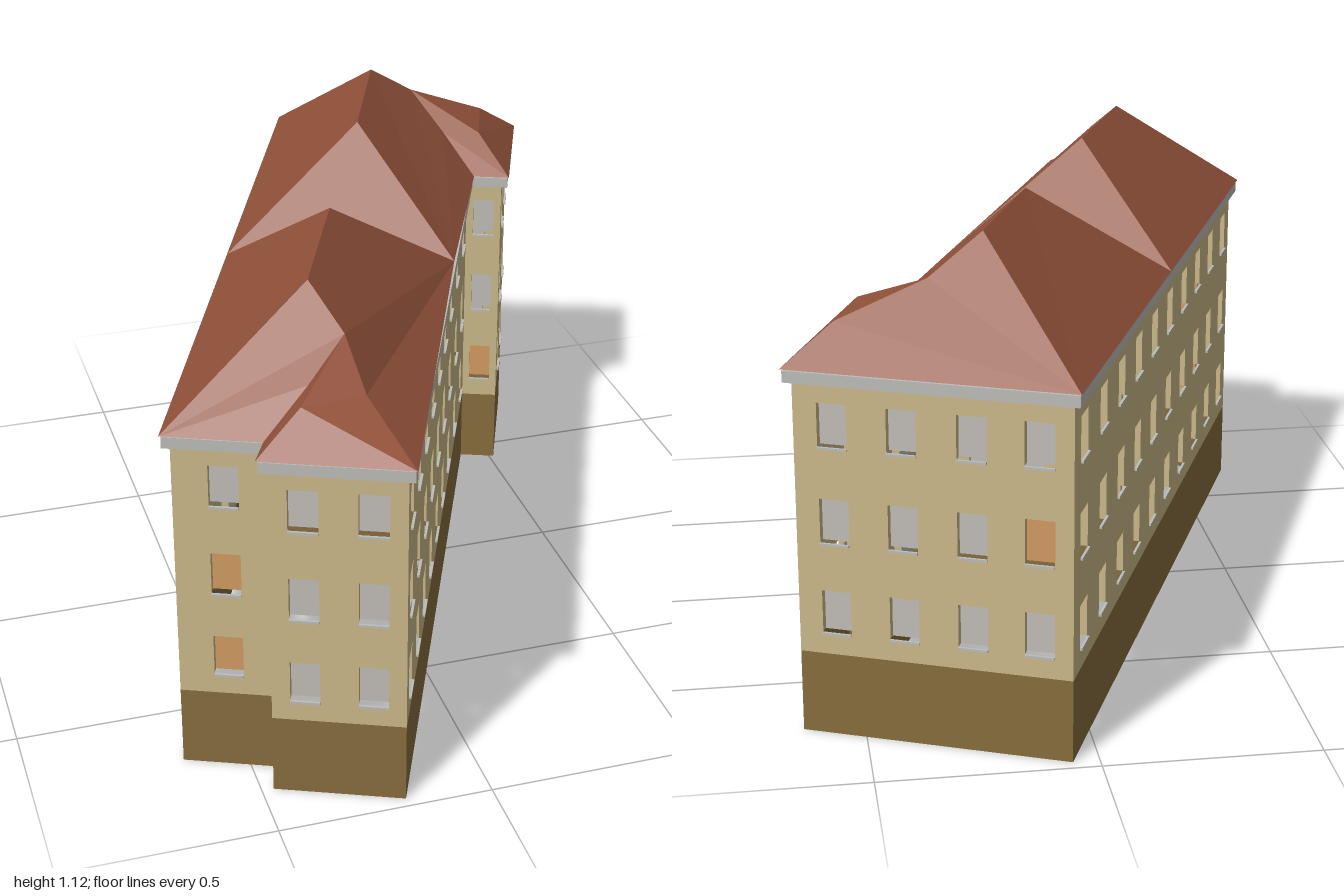
import * as THREE from 'three';

const mat = (name, color) => {
  const m = new THREE.MeshStandardMaterial({ color, side: THREE.DoubleSide });
  m.name = name;
  return m;
};

const EAVE = 0.866, WALL_TOP = 0.85, BASE_TOP = 0.197;
const ROWS = [[0.25, 0.35], [0.465, 0.568], [0.69, 0.79]];
const RECESS = 0.018;

// eave corners [x, z], counter-clockwise seen from above
const J = [-0.67, 0.70], I = [-0.463, 0.79], H = [-0.5, 0.863], G = [-0.186, 1.0];
const D = [0.437, -0.435], C = [0.523, -0.4], B = [0.664, -0.745], A = [0.05, -1.0];
const EAVES = [J, I, H, G, D, C, B, A];

// move every side of a closed outline inward by d
function inset(points, d) {
  const n = points.length;
  const normal = (a, b) => {
    const dx = b[0] - a[0], dz = b[1] - a[1], l = Math.hypot(dx, dz);
    return [-dz / l, dx / l];
  };
  return points.map((p, i) => {
    const n1 = normal(points[(i + n - 1) % n], p), n2 = normal(p, points[(i + 1) % n]);
    const k = d / (1 + n1[0] * n2[0] + n1[1] * n2[1]);
    return [p[0] - k * (n1[0] + n2[0]), p[1] - k * (n1[1] + n2[1])];
  });
}

// flat outline with y of the shape running along -z
const outline = (pts, Type) => new Type(pts.map(([x, z]) => new THREE.Vector2(x, -z)));

// triangle fans from polygons, each turned to face upward
function roofGeometry(polygons) {
  const out = [];
  for (const poly of polygons) {
    const v = poly.map((p) => new THREE.Vector3(...p));
    for (let i = 1; i < v.length - 1; i++) {
      const t = [v[0], v[i], v[i + 1]];
      const up = t[1].clone().sub(t[0]).cross(t[2].clone().sub(t[0])).y;
      if (up < 0) t.reverse();
      t.forEach((p) => out.push(p.x, p.y, p.z));
    }
  }
  const g = new THREE.BufferGeometry();
  g.setAttribute('position', new THREE.Float32BufferAttribute(out, 3));
  g.computeVertexNormals();
  return g;
}

export function createModel() {
  const model = new THREE.Group();
  model.name = 'apartmentBuilding';
  const plaster = mat('cream plaster', 0xcbb98a);
  const plinth = mat('brown plinth', 0x876d3d);
  const tile = mat('red roof tile', 0x91513a);
  const glass = mat('grey glass', 0xc2beb8);
  const litGlass = mat('orange glass', 0xd39b62);
  const metal = mat('grey gutter', 0xbdbdb9);

  const add = (parent, name, geo, material, x = 0, y = 0, z = 0) => {
    const m = new THREE.Mesh(geo, material);
    m.name = name;
    m.position.set(x, y, z);
    parent.add(m);
    return m;
  };

  // wall from p to q with window columns at fractions of its length
  function wall(name, p, q, columns, lit = [], width = 0.067) {
    const dx = q[0] - p[0], dz = q[1] - p[1], len = Math.hypot(dx, dz);
    const g = new THREE.Group();
    g.name = name;
    g.position.set(p[0], 0, p[1]);
    g.rotation.y = Math.atan2(-dz, dx);
    model.add(g);

    add(g, 'plinth', new THREE.PlaneGeometry(len, BASE_TOP), plinth, len / 2, BASE_TOP / 2);
    const shape = new THREE.Shape([
      new THREE.Vector2(0, BASE_TOP), new THREE.Vector2(len, BASE_TOP),
      new THREE.Vector2(len, WALL_TOP), new THREE.Vector2(0, WALL_TOP)]);
    columns.forEach((t, c) => ROWS.forEach(([y0, y1], r) => {
      const x = t * len, w = width / 2, h = y1 - y0, y = (y0 + y1) / 2;
      shape.holes.push(new THREE.Path([
        new THREE.Vector2(x - w, y0), new THREE.Vector2(x - w, y1),
        new THREE.Vector2(x + w, y1), new THREE.Vector2(x + w, y0)]));
      const on = lit.some(([lc, lr]) => lc === c && lr === r);
      add(g, 'windowPane', new THREE.PlaneGeometry(width, h), on ? litGlass : glass, x, y, -RECESS);
      for (const s of [-1, 1]) {
        add(g, 'windowJamb', new THREE.PlaneGeometry(RECESS, h), plaster, x + s * w, y, -RECESS / 2)
          .rotation.y = -s * Math.PI / 2;
      }
      add(g, 'windowSill', new THREE.BoxGeometry(width, 0.006, 0.006), metal, x, y0 - 0.003, 0.003);
    }));
    add(g, 'plaster', new THREE.ShapeGeometry(shape), plaster);
  }

  // outer walls
  const [j, i, h, g, d, c, b, a] = inset(EAVES, 0.02);
  const even = (n) => Array.from({ length: n }, (_, k) => (k + 0.5) / n);
  const sideZ = [0.904, 0.754, 0.604, 0.452, 0.302, 0.15, -0.01, -0.187, -0.366];
  wall('frontWall', j, i, [0.5], [[0, 0], [0, 1]]);
  wall('frontWingReturn', i, h, []);
  wall('frontWingWall', h, g, [0.25, 0.757]);
  wall('leftWall', g, d, sideZ.map((z) => (z - g[1]) / (d[1] - g[1])), [[3, 2], [4, 1]]);
  wall('backWingReturn', d, c, [0.5], [[0, 0]], 0.055);
  wall('backWingWall', c, b, [0.28, 0.75]);
  wall('backWall', b, a, [0.14, 0.39, 0.64, 0.88], [[3, 1]]);
  wall('rightWall', a, j, even(10), [[5, 2]]);

  // wall between the two halves of the house
  const P = [-0.31, -0.15], E = [0.216, 0.07];
  wall('partyWall', [0.197, 0.062], [-0.291, -0.142], even(4));

  // gutter ring under the eaves
  const ring = outline(inset(EAVES, 0.004), THREE.Shape);
  ring.holes.push(outline(inset(EAVES, 0.021), THREE.Path));
  const gutter = new THREE.ExtrudeGeometry(ring, { depth: 0.027, bevelEnabled: false });
  gutter.rotateX(-Math.PI / 2);
  add(model, 'gutter', gutter, metal, 0, 0.835, 0);

  // hipped roofs: eave points, ridge ends and the small wing ridges
  const e = ([x, z]) => [x, EAVE, z];
  const [rA, rB, rC, rD, rG, rH, rI, rJ] = [A, B, C, D, G, H, I, J].map(e);
  const rP = e(P), rE = [E[0] - 0.006, EAVE + 0.008, E[1] - 0.002];
  const R1 = [0.209, 1.123, -0.63], R2 = [0.066, 1.123, -0.28];
  const R3 = [-0.146, 1.12, 0.206], R4 = [-0.298, 1.12, 0.56];
  const S1 = [0.336, 1.035, -0.677], T1 = [0.542, 0.952, -0.693];
  const U1 = [0.389, 0.952, -0.555], V1 = [0.479, 0.952, -0.524];
  const S2 = [-0.249, 1.038, 0.677], T2 = [-0.238, 0.952, 0.804];
  const U2 = [-0.349, 0.96, 0.74], V2 = [-0.386, 0.952, 0.815];
  add(model, 'backRoof', roofGeometry([
    [rA, rP, R2, R1], [rA, R1, S1, T1, rB], [rB, T1, V1, rC], [rC, V1, U1, rD],
    [S1, U1, V1, T1], [rE, rD, U1, S1, R1, R2], [rE, R2, rP]]), tile);
  add(model, 'frontRoof', roofGeometry([
    [rP, rJ, R4, R3], [rP, R3, rE], [rE, R3, R4, S2, T2, rG], [rG, T2, V2, rH],
    [rH, V2, U2, rI], [S2, U2, V2, T2], [rJ, rI, U2, S2, R4]]), tile);
  return model;
}
